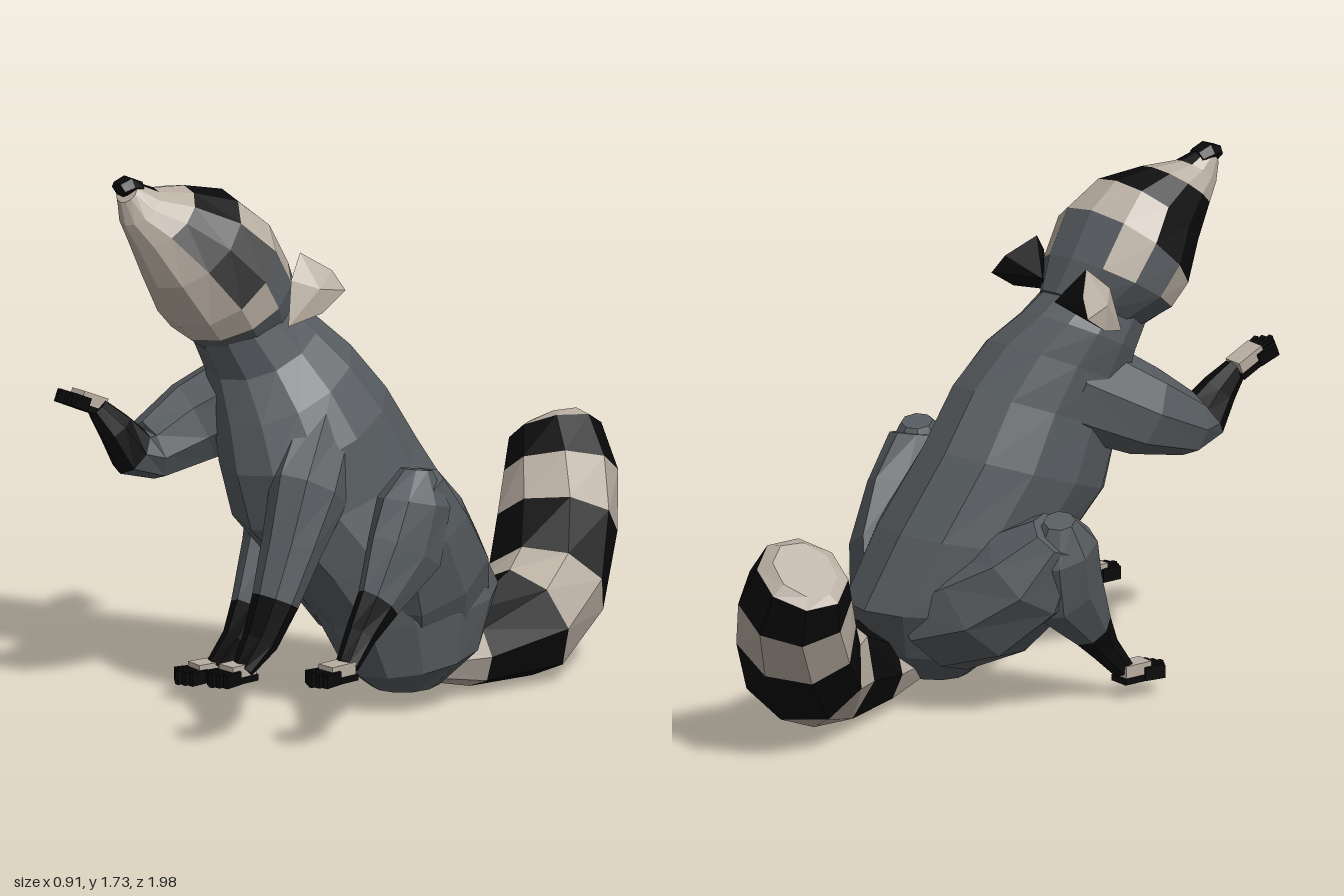
import * as THREE from 'three';

const gray = new THREE.MeshStandardMaterial({ color: 0x565b5f });
const cream = new THREE.MeshStandardMaterial({ color: 0xb8ada1 });
const black = new THREE.MeshStandardMaterial({ color: 0x0a0a0a });
gray.name = 'grayFur'; cream.name = 'creamFur'; black.name = 'blackFur';
const mats = [gray, cream, black];
const G = 0, C = 1, K = 2;
const V = (x, y, z) => new THREE.Vector3(x, y, z);

// Faceted mesh from triangles sorted by colour
function facetMesh(name, buckets) {
  const geo = new THREE.BufferGeometry().setFromPoints(buckets.flat());
  let start = 0;
  buckets.forEach((b, m) => {
    if (b.length) geo.addGroup(start, b.length, m);
    start += b.length;
  });
  geo.computeVertexNormals();
  const mesh = new THREE.Mesh(geo, mats);
  mesh.name = name;
  return mesh;
}

// Skin over rings {c, u, v}; paint(segment, side) picks the colour
function loft(name, rings, sides, paint) {
  const buckets = [[], [], []];
  const pt = (i, j) => {
    const a = (j / sides) * Math.PI * 2, r = rings[i];
    return r.c.clone().addScaledVector(r.u, Math.cos(a)).addScaledVector(r.v, Math.sin(a));
  };
  const last = rings.length - 1;
  for (let j = 0; j < sides; j++) {
    for (let i = 0; i < last; i++) {
      const a = pt(i, j), b = pt(i, j + 1), c = pt(i + 1, j + 1), d = pt(i + 1, j);
      buckets[paint(i, j)].push(a, b, c, a, c, d);
    }
    buckets[paint(0, j)].push(rings[0].c, pt(0, j + 1), pt(0, j));
    buckets[paint(last - 1, j)].push(rings[last].c, pt(last, j), pt(last, j + 1));
  }
  return facetMesh(name, buckets);
}

// Rings square to a path of [x, y, z, halfWidth, halfDepth]
function pathRings(path) {
  const p = path.map(s => V(s[0], s[1], s[2]));
  return path.map((s, i) => {
    const t = p[Math.min(i + 1, p.length - 1)].clone().sub(p[Math.max(i - 1, 0)]).normalize();
    const u = V(1, 0, 0).addScaledVector(t, -t.x).normalize();
    const v = t.clone().cross(u);
    return { c: p[i], u: u.multiplyScalar(s[3]), v: v.multiplyScalar(s[4] ?? s[3]) };
  });
}

// Rings from [backY, backZ, frontY, frontZ, centreX, halfWidth]
const profileRings = rows => rows.map(([by, bz, fy, fz, x, w]) => ({
  c: V(x, (by + fy) / 2, (bz + fz) / 2),
  u: V(w, 0, 0),
  v: V(0, (by - fy) / 2, (bz - fz) / 2),
}));

// Paw: cream back, black sole and five blunt black toes
function paw(name, x, y, z, pitch = 0, yaw = 0) {
  const g = new THREE.Group();
  const box = (part, w, h, d, px, py, pz, m, turn = 0) => {
    const b = new THREE.Mesh(new THREE.BoxGeometry(w, h, d), m);
    b.name = part;
    b.position.set(px, py, pz);
    b.rotation.y = turn;
    g.add(b);
  };
  box('sole', 0.072, 0.02, 0.12, 0, -0.02, 0, black);
  box('pawBack', 0.064, 0.042, 0.1, 0, 0.008, -0.005, cream);
  for (let i = -2; i <= 2; i++) {
    box('toe', 0.017, 0.042, 0.07, i * 0.0185, -0.008, 0.075 - Math.abs(i) * 0.012, black, i * 0.08);
  }
  g.name = name;
  g.position.set(x, y, z);
  g.rotation.set(pitch, yaw, 0);
  return g;
}

// Ear cup: cream outer face, black inner face reaching behind the head
function ear(name, place, flip) {
  const rim = [[0.025, 1.26, 0.43], [0.005, 1.4, 0.4], [-0.03, 1.47, 0.33],
    [0.03, 1.41, 0.25], [0.07, 1.35, 0.23], [0.06, 1.29, 0.32]].map(place);
  const outer = place([0.06, 1.37, 0.33]), inner = place([-0.11, 1.36, 0.27]);
  const buckets = [[], [], []];
  rim.forEach((a, i) => {
    const b = rim[(i + 1) % rim.length];
    const [p, q] = flip ? [b, a] : [a, b];
    buckets[C].push(outer, q, p);
    buckets[K].push(inner, p, q);
  });
  return facetMesh(name, buckets);
}

function eye(name, x) {
  const e = new THREE.Mesh(new THREE.OctahedronGeometry(0.012), gray);
  e.name = name;
  e.position.set(x, 1.575, 0.6);
  return e;
}

export function createModel() {
  const g = new THREE.Group();
  g.name = 'raccoon';

  // Leaning, seated body
  g.add(loft('body', profileRings([
    [0.08, -0.05, 0.07, 0.17, 0.16, 0.11],
    [0.2, -0.21, 0.13, 0.25, 0.15, 0.2],
    [0.36, -0.295, 0.3, 0.33, 0.12, 0.25],
    [0.6, -0.2, 0.46, 0.43, 0.055, 0.275],
    [0.85, -0.07, 0.62, 0.55, -0.015, 0.265],
    [1.03, 0.04, 0.8, 0.59, -0.035, 0.25],
    [1.17, 0.14, 0.95, 0.575, -0.085, 0.225],
    [1.26, 0.22, 1.08, 0.555, -0.15, 0.19],
    [1.33, 0.3, 1.2, 0.6, -0.175, 0.17],
  ]), 12, () => G));

  // Raised head, coloured by segment and distance from the crown
  const face = [
    [G, G, G, G, G, G],
    [G, C, G, C, C, C],
    [C, C, K, K, C, C],
    [K, K, K, K, C, C],
    [C, C, C, C, C, C],
    [K, C, C, C, C, C],
  ];
  g.add(loft('head', profileRings([
    [1.33, 0.26, 1.15, 0.55, -0.175, 0.155],
    [1.44, 0.3, 1.21, 0.63, -0.205, 0.225],
    [1.58, 0.38, 1.26, 0.67, -0.215, 0.24],
    [1.66, 0.47, 1.39, 0.74, -0.235, 0.185],
    [1.685, 0.59, 1.52, 0.785, -0.28, 0.12],
    [1.69, 0.69, 1.59, 0.81, -0.31, 0.07],
    [1.72, 0.76, 1.66, 0.81, -0.33, 0.04],
  ]), 12, (i, j) => {
    const m = (j + 9) % 12;
    return face[i][Math.min(m, 11 - m)];
  }));
  g.add(loft('nose', pathRings([
    [-0.325, 1.7, 0.74, 0.04, 0.02], [-0.335, 1.71, 0.775, 0.046, 0.028],
    [-0.34, 1.7, 0.81, 0.036, 0.025],
  ]), 6, () => K));
  g.add(eye('leftEye', -0.12), eye('rightEye', -0.38));
  g.add(ear('leftEar', ([x, y, z]) => V(x, y, z), false));
  g.add(ear('rightEar', ([x, y, z]) => V(-0.345 - x, y - 0.03, z - 0.08), true));

  // Ringed tail curling up and to the right
  const bands = [C, K, C, K, C, K, C];
  g.add(loft('tail', pathRings([
    [0.17, 0.14, 0.0, 0.07],
    [0.18, 0.14, -0.18, 0.12],
    [0.18, 0.185, -0.41, 0.185],
    [0.1, 0.25, -0.59, 0.2, 0.18],
    [0.0, 0.41, -0.73, 0.2, 0.175],
    [-0.07, 0.55, -0.81, 0.18, 0.175],
    [-0.135, 0.66, -0.845, 0.15, 0.14],
    [-0.15, 0.68, -0.85, 0.11, 0.1],
  ]), 8, i => bands[i]));

  // Limbs: gray above, black from the given segment down
  const limb = (name, path, from = path.length) =>
    g.add(loft(name, pathRings(path), 8, i => (i >= from ? K : G)));

  limb('leftFrontLeg', [
    [0.08, 0.96, 0.3, 0.09, 0.13], [0.14, 0.76, 0.45, 0.11, 0.14],
    [0.15, 0.6, 0.53, 0.095, 0.1], [0.16, 0.44, 0.61, 0.075],
    [0.155, 0.32, 0.67, 0.058], [0.15, 0.24, 0.74, 0.04, 0.03],
  ], 3);
  g.add(paw('leftFrontPaw', 0.145, 0.235, 0.76));

  limb('rightFrontArm', [
    [-0.17, 1.02, 0.34, 0.14, 0.17], [-0.3, 0.91, 0.53, 0.125, 0.14],
    [-0.335, 0.84, 0.69, 0.1, 0.1], [-0.335, 0.85, 0.76, 0.08],
    [-0.355, 0.93, 0.81, 0.058], [-0.385, 1.0, 0.86, 0.035],
  ], 3);
  g.add(paw('rightFrontPaw', -0.4, 1.02, 0.89, -0.42, -0.1));

  limb('leftHindLeg', [
    [0.34, 0.82, 0.18, 0.05], [0.35, 0.72, 0.2, 0.1, 0.13],
    [0.36, 0.57, 0.25, 0.09, 0.15], [0.37, 0.43, 0.37, 0.06, 0.08],
    [0.375, 0.34, 0.45, 0.05], [0.39, 0.26, 0.52, 0.04, 0.035],
  ], 3);
  limb('leftThigh', [
    [0.18, 0.28, -0.02, 0.16, 0.22], [0.26, 0.45, 0.05, 0.15, 0.22],
    [0.32, 0.62, 0.14, 0.11, 0.18], [0.34, 0.78, 0.18, 0.08, 0.09],
  ]);
  g.add(paw('leftHindPaw', 0.395, 0.25, 0.57));

  limb('rightHindLeg', [
    [-0.36, 0.67, 0.08, 0.05], [-0.34, 0.57, 0.11, 0.1, 0.13],
    [-0.31, 0.42, 0.16, 0.1, 0.14], [-0.285, 0.26, 0.3, 0.065, 0.075],
    [-0.285, 0.18, 0.36, 0.05], [-0.31, 0.1, 0.42, 0.04, 0.035],
  ], 3);
  limb('rightThigh', [
    [0.06, 0.26, -0.04, 0.14, 0.21], [-0.1, 0.36, 0.02, 0.19, 0.21],
    [-0.25, 0.49, 0.07, 0.17, 0.18], [-0.35, 0.62, 0.09, 0.09, 0.1],
  ]);
  g.add(paw('rightHindPaw', -0.325, 0.09, 0.455, 0, -0.15));

  return g;
}
